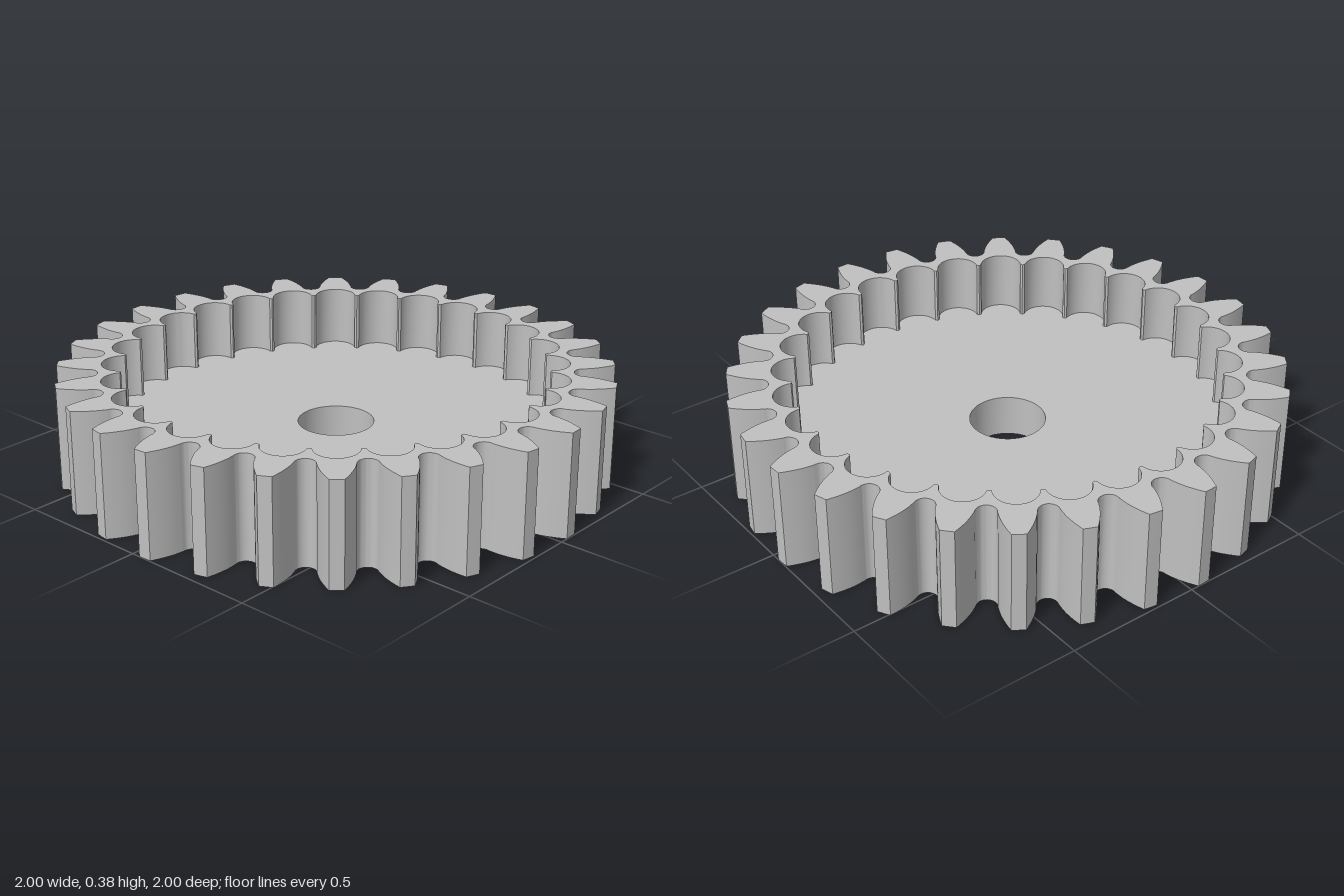
import * as THREE from 'three';
import { mergeGeometries, toCreasedNormals } from 'three/addons/utils/BufferGeometryUtils.js';

const TEETH = 28, PITCH = 2 * Math.PI / TEETH, PHASE = PITCH / 4;
const HEIGHT = 0.383, FLOOR = 0.16, BORE = 0.138;
const PITCH_R = 14 / 15, PRESSURE = THREE.MathUtils.degToRad(20), BASE_R = PITCH_R * Math.cos(PRESSURE);

const inv = a => Math.tan(a) - a;
const polar = (r, a) => new THREE.Vector2(r * Math.cos(a), r * Math.sin(a));

// Mirrors half a tooth, given as [radius, angle from tooth centre], and repeats it round the wheel
function ring(half) {
  const full = [...half.map(([r, a]) => [r, -a]), ...half.slice(1, -1).reverse()];
  const pts = [];
  for (let k = 0; k < TEETH; k++) for (const [r, a] of full) pts.push(polar(r, PHASE + k * PITCH + a));
  return pts;
}

// Involute teeth with round roots
function toothOutline() {
  const half = [], rc = 0.885, rr = 0.0365;
  for (let i = 0; i <= 8; i++) {
    const f = i / 8 * Math.PI / 2;
    const x = rc - rr * Math.cos(f), y = rr * Math.sin(f);
    half.push([Math.hypot(x, y), PITCH / 2 - Math.atan2(y, x)]);
  }
  for (let i = 0; i <= 8; i++) {
    const r = 0.893 + (1 - 0.893) * i / 8;
    half.push([r, PITCH / 4 + inv(PRESSURE) - inv(Math.acos(BASE_R / r))]);
  }
  half.push([1, 0]);
  return ring(half);
}

// Scalloped pocket: one round bay behind each tooth
function pocketOutline() {
  const half = [[0.766, PITCH / 2]], rc = 0.764, rr = 0.078;
  for (let i = 0; i <= 10; i++) {
    const f = (1 - i / 10) * Math.PI * 0.49;
    const x = rc + rr * Math.cos(f), y = rr * Math.sin(f);
    half.push([Math.hypot(x, y), Math.atan2(y, x)]);
  }
  return ring(half);
}

// Vertical wall along a closed outline, facing out or in
function wall(points, y0, y1, inward = false) {
  const pts = inward ? [...points].reverse() : points;
  const pos = [];
  pts.forEach((a, i) => {
    const b = pts[(i + 1) % pts.length];
    pos.push(a.x, y0, -a.y, b.x, y0, -b.y, b.x, y1, -b.y);
    pos.push(a.x, y0, -a.y, b.x, y1, -b.y, a.x, y1, -a.y);
  });
  return new THREE.BufferGeometry().setAttribute('position', new THREE.Float32BufferAttribute(pos, 3));
}

// Flat face with a hole, facing up or down
function cap(outline, hole, y, down = false) {
  const shape = new THREE.Shape(outline);
  shape.holes.push(new THREE.Path([...hole].reverse()));
  const g = new THREE.ShapeGeometry(shape).rotateX(-Math.PI / 2).translate(0, y, 0);
  if (down) g.index.array.reverse();
  const flat = g.toNonIndexed();
  flat.deleteAttribute('normal');
  flat.deleteAttribute('uv');
  return flat;
}

export function createModel() {
  const group = new THREE.Group();
  group.name = 'gear';
  const steel = new THREE.MeshStandardMaterial({ color: 0xc0c0c0 });
  steel.name = 'light grey';

  const teeth = toothOutline(), pocket = pocketOutline();
  const bore = Array.from({ length: 64 }, (_, i) => polar(BORE, i / 64 * 2 * Math.PI));

  const add = (name, ...parts) => {
    const mesh = new THREE.Mesh(toCreasedNormals(mergeGeometries(parts), Math.PI / 6), steel);
    mesh.name = name;
    group.add(mesh);
  };

  add('toothedRim', wall(teeth, 0, HEIGHT), cap(teeth, pocket, HEIGHT), wall(pocket, FLOOR, HEIGHT, true));
  add('pocketFloor', cap(pocket, bore, FLOOR));
  add('underside', cap(teeth, bore, 0, true));
  add('axleBore', wall(bore, 0, FLOOR, true));
  return group;
}
